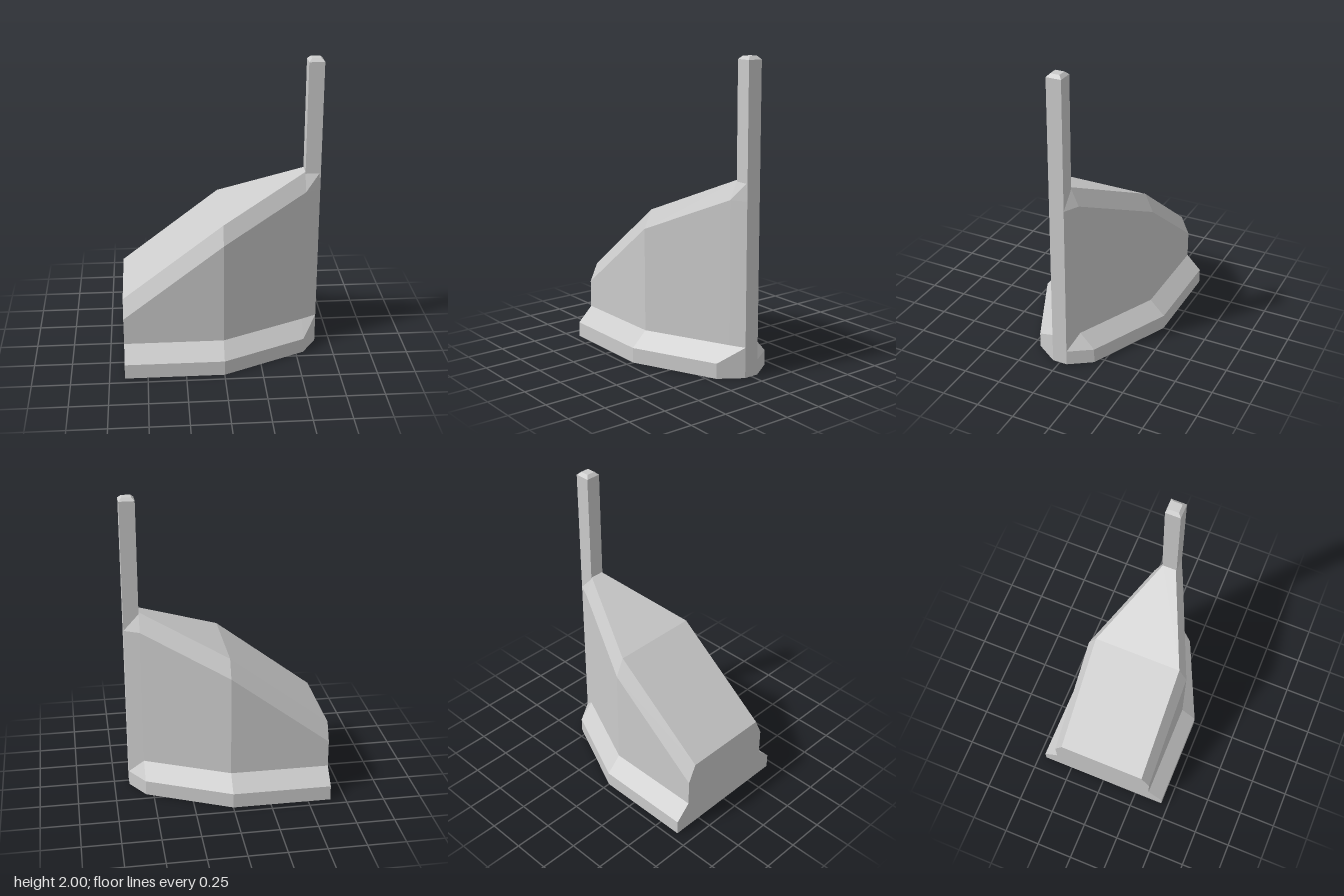
import * as THREE from 'three';

const grey = () => new THREE.MeshStandardMaterial({ color: 0xcccccc, flatShading: true });

// Lofts closed rings of [x, y, z] points; each ring is mirrored in z, so
// point i pairs with point n-1-i and caps can be filled in strips.
function loft(rings, capStart, capEnd) {
  const pos = [];
  const quad = (a, b, c, d) => pos.push(...a, ...b, ...c, ...a, ...c, ...d);
  const n = rings[0].length;
  for (let s = 0; s < rings.length - 1; s++) {
    for (let i = 0; i < n; i++) {
      const j = (i + 1) % n;
      quad(rings[s][i], rings[s + 1][i], rings[s + 1][j], rings[s][j]);
    }
  }
  const cap = (r, flip) => {
    for (let i = 0; i < n / 2 - 1; i++) {
      const q = [r[i], r[i + 1], r[n - 2 - i], r[n - 1 - i]];
      quad(...(flip ? q.reverse() : q));
    }
  };
  if (capStart) cap(rings[0], false);
  if (capEnd) cap(rings[rings.length - 1], true);
  const g = new THREE.BufferGeometry();
  g.setAttribute('position', new THREE.Float32BufferAttribute(pos, 3));
  g.computeVertexNormals();
  return g;
}

// Body section at x: plinth, sloping ledge, wall and chamfered top edge
function bodySection([x, plinth, wall, top, shoulderY, topY]) {
  const half = [[0, plinth], [0.1, plinth], [0.2, wall], [shoulderY, wall], [topY, top]];
  const near = half.map(([y, z]) => [x, y, z]);
  const far = half.map(([y, z]) => [x, y, -z]).reverse();
  return [...near, ...far];
}

// Square post section at height y
function postSection(y, r) {
  const cx = 0.6;
  return [[cx - r, y, r], [cx + r, y, r], [cx + r, y, -r], [cx - r, y, -r]];
}

export function createModel() {
  const model = new THREE.Group();
  model.name = 'wedgeWithPost';

  // Sloping body, tapering towards the post
  const sections = [
    [-0.65, 0.45, 0.35, 0.295, 0.38, 0.5],
    [0, 0.45, 0.35, 0.295, 0.88, 1.0],
    [0.55, 0.2, 0.1, 0.045, 1.13, 1.25],
    [0.65, 0.05, 0.05, 0.045, 1.13, 1.25],
  ].map(bodySection);
  const body = new THREE.Mesh(loft(sections, true, false), grey());
  body.name = 'body';
  model.add(body);

  // Upright post with a small chamfer at its tip
  const rings = [postSection(0, 0.05), postSection(1.98, 0.05), postSection(2, 0.03)];
  const g = loft(rings.map((r) => r.slice().reverse()), true, true);
  const post = new THREE.Mesh(g, grey());
  post.name = 'post';
  model.add(post);

  return model;
}
